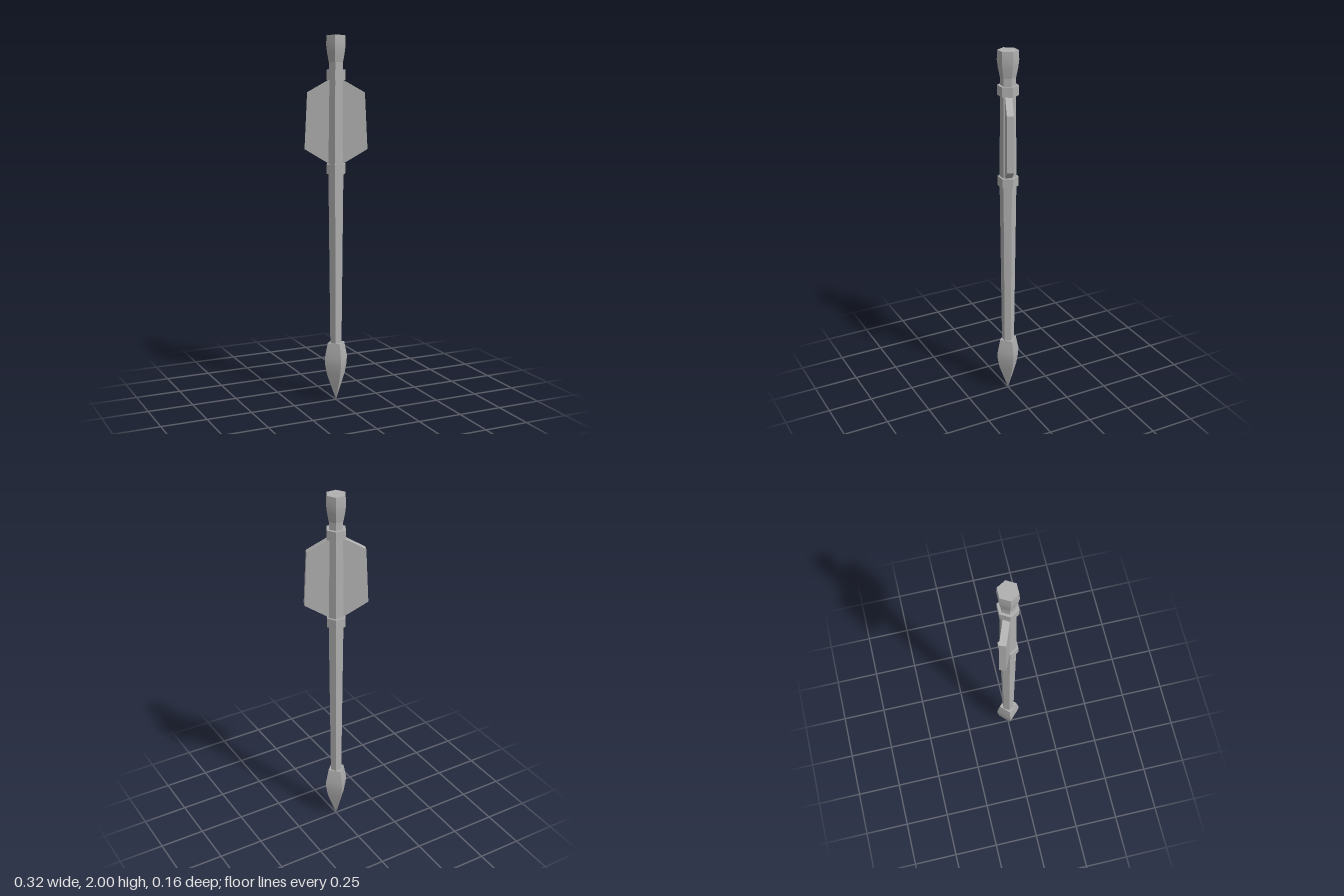
import * as THREE from 'three';
import { toCreasedNormals } from 'three/addons/utils/BufferGeometryUtils.js';

const steel = new THREE.MeshStandardMaterial({ color: 0xb0b0b0 });
steel.name = 'steel grey';

// Faceted turned part: hard edges between sides, smooth along the profile
function turned(name, sides, profile) {
  const points = profile.map(([r, y]) => new THREE.Vector2(r, y));
  const geometry = new THREE.LatheGeometry(points, sides, Math.PI / 2);
  const mesh = new THREE.Mesh(toCreasedNormals(geometry, 0.7), steel);
  mesh.name = name;
  return mesh;
}

export function createModel() {
  const bolt = new THREE.Group();
  bolt.name = 'bolt';

  // Four-sided point, facing down
  bolt.add(turned('tip', 4, [
    [0, 0], [0.054, 0.15], [0.066, 0.21], [0.067, 0.25], [0.05, 0.33], [0, 0.33],
  ]));

  // Tapered six-sided shaft
  bolt.add(turned('shaft', 6, [[0, 0.32], [0.034, 0.32], [0.045, 1.3], [0.04, 1.87], [0, 1.87]]));

  // Collars above and below the fins
  for (const [name, y] of [['lowerCollar', 1.267], ['upperCollar', 1.765]]) {
    bolt.add(turned(name, 6, [[0, y], [0.056, y], [0.056, y + 0.053], [0, y + 0.053]]));
  }

  // Flared six-sided nock
  bolt.add(turned('nock', 6, [
    [0, 1.86], [0.042, 1.86], [0.052, 1.91], [0.057, 1.95], [0.054, 2], [0, 2],
  ]));

  // Pair of flat fins, turned about the shaft
  const depth = 0.036;
  const outline = new THREE.Shape([
    [0, 1.32], [0.035, 1.32], [0.168, 1.4], [0.153, 1.7], [0.04, 1.765], [0, 1.765],
  ].map(([x, y]) => new THREE.Vector2(x, y)));
  const finGeometry = new THREE.ExtrudeGeometry(outline, { depth, bevelEnabled: false });
  finGeometry.translate(0, 0, -depth / 2);
  for (const [name, turn] of [['leftFin', 0], ['rightFin', Math.PI]]) {
    const fin = new THREE.Mesh(finGeometry, steel);
    fin.name = name;
    fin.rotation.y = turn - 0.4;
    bolt.add(fin);
  }

  return bolt;
}
